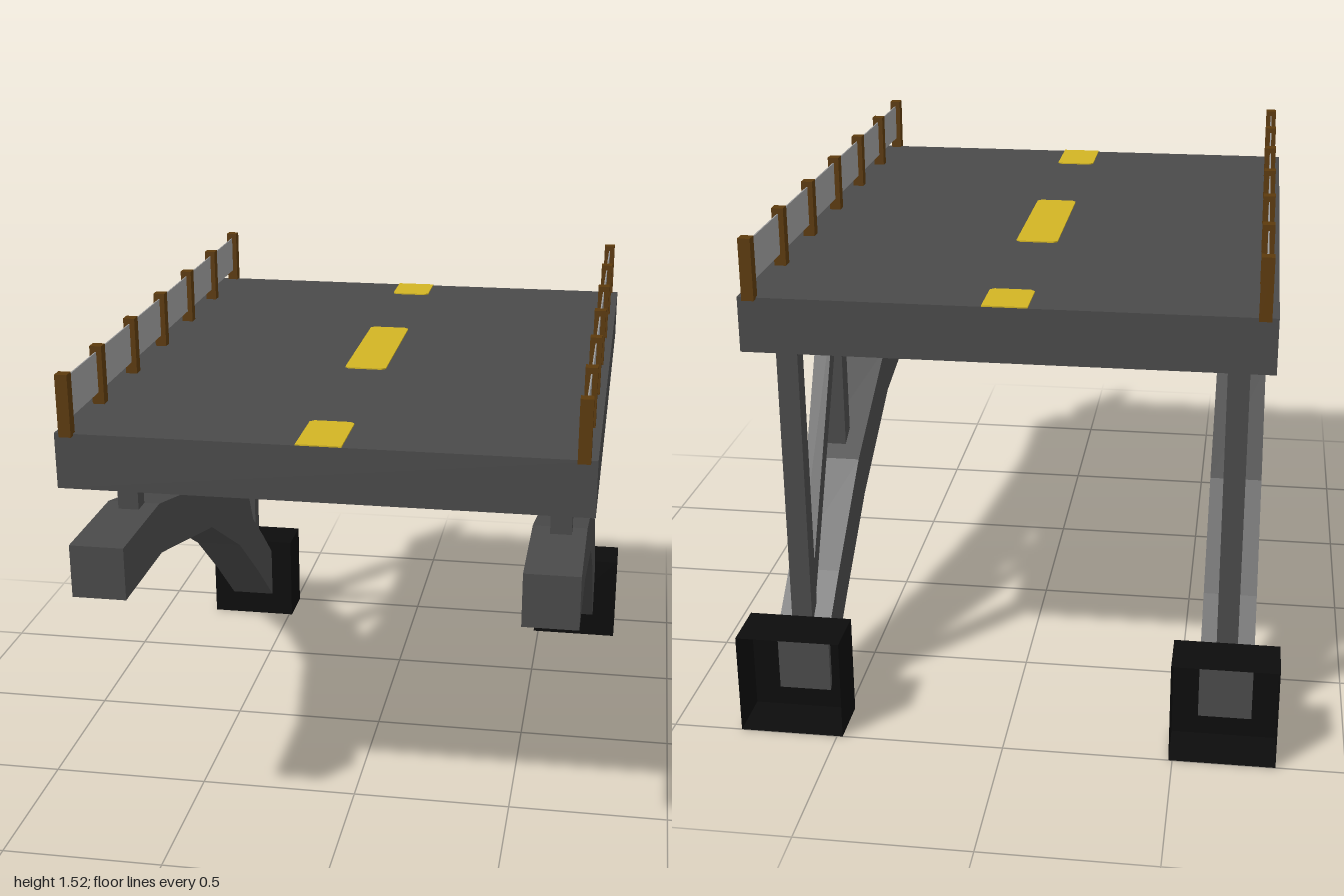
import * as THREE from 'three';

const mat = (name, color, side = THREE.FrontSide) => {
  const m = new THREE.MeshStandardMaterial({ color, side });
  m.name = name;
  return m;
};

export function createModel() {
  const model = new THREE.Group();
  model.name = 'bridgeSection';
  const concrete = mat('concreteGrey', 0x4a4a4a);
  const black = mat('footingBlack', 0x0c0c0c, THREE.DoubleSide);
  const wood = mat('postBrown', 0x5c3a0c);
  const paint = mat('roadYellow', 0xd2b424);
  const mesh = mat('railGrey', 0x9c9c9c, THREE.DoubleSide);

  const add = (name, geometry, material, parent = model) => {
    const m = new THREE.Mesh(geometry, material);
    m.name = name;
    parent.add(m);
    return m;
  };
  // Box given by its limits on each axis
  const box = (name, material, [x0, x1], [y0, y1], [z0, z1], parent) => {
    const m = add(name, new THREE.BoxGeometry(x1 - x0, y1 - y0, z1 - z0), material, parent);
    m.position.set((x0 + x1) / 2, (y0 + y1) / 2, (z0 + z1) / 2);
    return m;
  };
  // Square beam between two [z, y] points
  const beam = (name, a, b, x, width, parent) => {
    const dz = b[0] - a[0], dy = b[1] - a[1];
    const m = add(name, new THREE.BoxGeometry(width, width, Math.hypot(dz, dy)), concrete, parent);
    m.position.set(x, (a[1] + b[1]) / 2, (a[0] + b[0]) / 2);
    m.rotation.x = -Math.atan2(dy, dz);
  };

  // Road deck
  const zBack = -0.935, zFront = 0.982, top = 1.345;
  box('deck', concrete, [-0.745, 0.738], [1.185, top], [zBack, zFront]);

  // Centre line dashes, with clipped corners where a dash ends on the deck
  const dash = (z0, z1, clip0, clip1) => {
    const x0 = -0.071, x1 = 0.056, c = 0.012;
    const a = clip0 ? c : 0, b = clip1 ? c : 0;
    const pts = [[x0 + a, -z0], [x0, -z0 - a], [x0, -z1 + b], [x0 + b, -z1],
      [x1 - b, -z1], [x1, -z1 + b], [x1, -z0 - a], [x1 - a, -z0]];
    const shape = new THREE.Shape(pts.map(p => new THREE.Vector2(...p)));
    const g = new THREE.ExtrudeGeometry(shape, { depth: 0.004, bevelEnabled: false });
    add('centreDash', g.rotateX(-Math.PI / 2).translate(0, top, 0), paint);
  };
  dash(zBack, -0.777, false, true);
  dash(-0.285, 0.222, true, true);
  dash(0.767, zFront, true, false);

  // Arch side profile as [z, y] points: upper edge, then lower edge
  const profile = [
    [0.984, 1.015], [0.622, 1.015], [0.01, 0.868], [-0.4, 0.64], [-0.7, 0.395], [-0.86, 0.255],
    [-0.86, 0.07], [-0.606, 0.285], [-0.338, 0.497], [0.037, 0.713], [0.622, 0.857], [0.984, 0.857],
  ];
  const archShape = new THREE.Shape(profile.map(p => new THREE.Vector2(...p)));
  const archGeo = new THREE.ExtrudeGeometry(archShape, { depth: 0.158, bevelEnabled: false })
    .rotateY(-Math.PI / 2).translate(0.079, 0, 0);

  // Footing: a hollow block with its back face left open
  const footGeo = new THREE.BoxGeometry(0.31, 0.31, 0.158);
  footGeo.setIndex(Array.from(footGeo.index.array).slice(0, 30));
  footGeo.clearGroups();

  // Columns as [front z, back z, bottom y]; braces as pairs of [z, y]
  const columns = [[0.681, 0.622, 0.95], [0.196, 0.137, 0.85], [-0.289, -0.348, 0.58], [-0.777, -0.835, 0.22]];
  const braces = [
    [[0.625, 1.175], [0.14, 0.878]],
    [[0.1, 0.89], [-0.335, 1.182]],
    [[-0.34, 1.19], [-0.79, 0.335]],
  ];
  const postZ = [0.983, 0.686, 0.364, 0.04, -0.287, -0.61, -0.935];

  for (const side of [-1, 1]) {
    const truss = new THREE.Group();
    truss.name = side > 0 ? 'leftTruss' : 'rightTruss';
    model.add(truss);
    add('arch', archGeo, concrete, truss).position.x = side * 0.638 - 0.0075;
    add('footing', footGeo, black, truss).position.set(side * 0.641 - 0.003, 0.155, -0.921);
    const x = side * 0.64 - 0.004;
    for (const [z1, z0, y0] of columns)
      box('column', concrete, [x - 0.031, x + 0.031], [y0, 1.19], [z0, z1], truss);
    for (const [a, b] of braces) beam('brace', a, b, x, 0.05, truss);

    // Guard rail: posts with a thin panel between them
    const rail = new THREE.Group();
    rail.name = side > 0 ? 'leftRail' : 'rightRail';
    model.add(rail);
    const rx = side * 0.705 - 0.003;
    for (const z of postZ)
      box('railPost', wood, [rx - 0.0175, rx + 0.0175], [1.34, 1.517], [z - 0.0175, z + 0.0175], rail);
    box('railPanel', mesh, [rx - 0.002, rx + 0.002], [1.38, 1.5], [zBack, zFront], rail);
  }
  return model;
}
